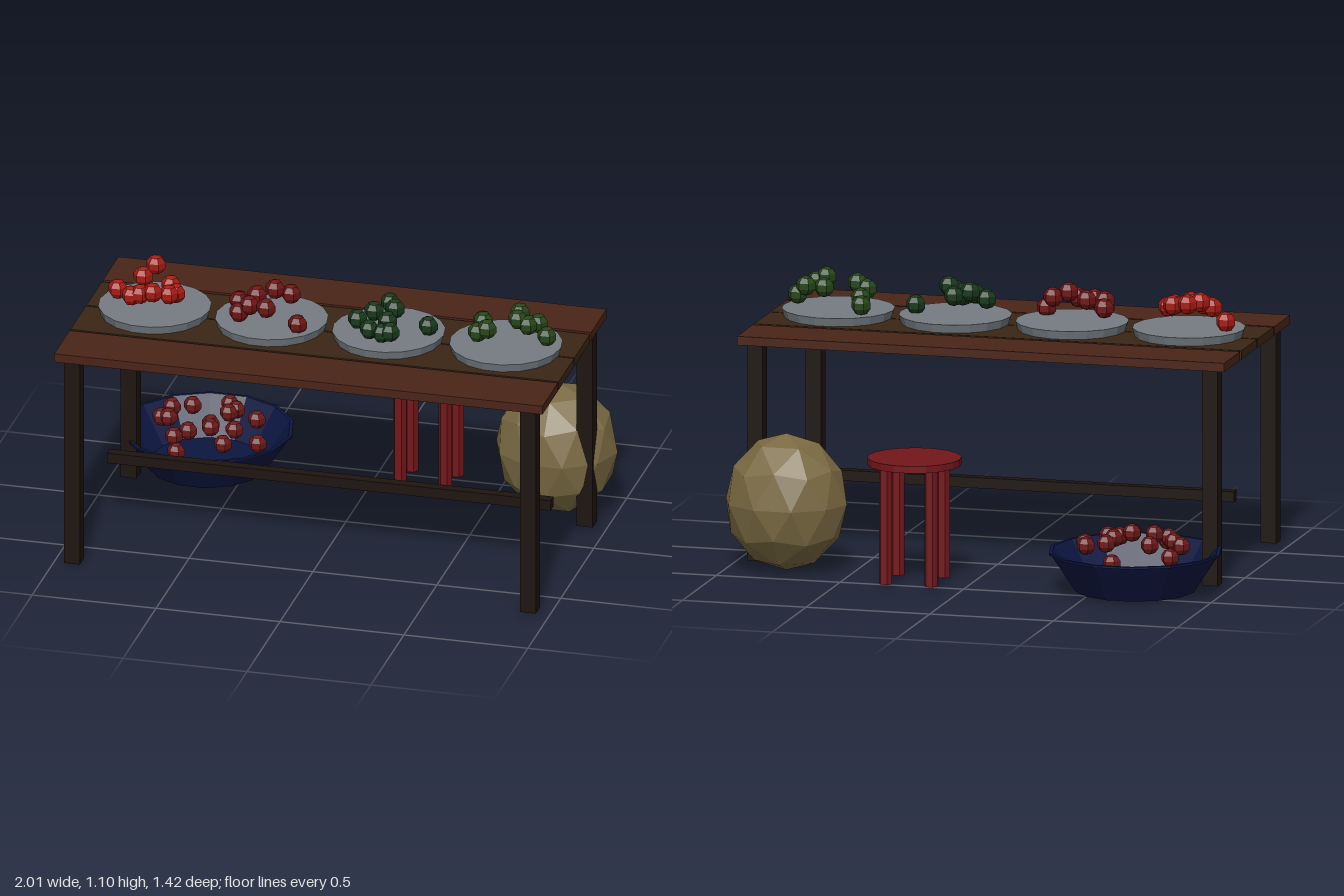
import * as THREE from 'three';

const paint = (color) => new THREE.MeshStandardMaterial({ color, flatShading: true, side: THREE.DoubleSide });

export function createModel() {
  const model = new THREE.Group();
  const plankOuter = paint(0x4a2418), plankInner = paint(0x3a2614), darkWood = paint(0x1e1410);
  const stoolRed = paint(0x74161a), plateGrey = paint(0x757c82), basinBlue = paint(0x0c1640);

  function add(name, geometry, material, x, y, z, parent = model) {
    const mesh = new THREE.Mesh(geometry, material);
    mesh.name = name;
    mesh.position.set(x, y, z);
    parent.add(mesh);
    return mesh;
  }
  function group(name) {
    const g = new THREE.Group();
    g.name = name;
    model.add(g);
    return g;
  }
  // cylinder with a corner on the x axis
  const prism = (top, bottom, height, sides) =>
    new THREE.CylinderGeometry(top, bottom, height, sides).rotateY(Math.PI / 2);

  // Table: four planks, four legs and a long stretcher
  const table = group('table');
  [[-0.145, plankOuter], [0.107, plankInner], [0.348, plankInner], [0.593, plankOuter]].forEach(([z, mat]) =>
    add('tablePlank', new THREE.BoxGeometry(1.97, 0.035, 0.234), mat, -0.003, 0.893, z, table));
  for (const x of [-0.922, 0.918]) for (const z of [-0.202, 0.658])
    add('tableLeg', new THREE.BoxGeometry(0.064, 0.862, 0.064), darkWood, x, 0.446, z, table);
  add('stretcher', new THREE.BoxGeometry(1.79, 0.042, 0.043), darkWood, -0.003, 0.28, 0.228, table);

  // Plates heaped with round fruit: [x, y, z] per fruit
  const fruitGeometry = new THREE.SphereGeometry(0.04, 6, 5);
  const heaps = [
    { x: -0.712, color: 0xa81a12, fruit: [
      [-0.74, 1.06, 0.1], [-0.87, 0.98, 0.19], [-0.765, 1.05, 0.2], [-0.65, 1.03, 0.21], [-0.62, 1.015, 0.25],
      [-0.64, 1.02, 0.28], [-0.7, 1.03, 0.3], [-0.75, 1.02, 0.305], [-0.785, 1.01, 0.305]] },
    { x: -0.24, color: 0x6e1414, fruit: [
      [-0.37, 1.0, 0.22], [-0.3, 1.03, 0.22], [-0.23, 1.06, 0.21], [-0.17, 1.04, 0.195], [-0.36, 1.02, 0.27],
      [-0.35, 0.99, 0.31], [-0.31, 1.02, 0.3], [-0.24, 1.02, 0.31], [-0.11, 0.97, 0.32]] },
    { x: 0.232, color: 0x17381a, fruit: [
      [0.22, 1.03, 0.155], [0.39, 0.975, 0.215], [0.18, 1.03, 0.25], [0.12, 1.0, 0.275], [0.265, 1.05, 0.25],
      [0.25, 1.02, 0.31], [0.19, 1.0, 0.36], [0.24, 0.99, 0.36], [0.275, 1.0, 0.365]] },
    { x: 0.705, color: 0x254518, fruit: [
      [0.585, 0.98, 0.12], [0.6, 1.0, 0.17], [0.74, 1.04, 0.14], [0.83, 1.03, 0.2], [0.87, 0.99, 0.225],
      [0.76, 1.06, 0.25], [0.8, 1.04, 0.25], [0.65, 1.03, 0.305], [0.61, 1.01, 0.3]] },
  ];
  for (const { x, color, fruit } of heaps) {
    const serving = group('plateOfFruit');
    const skin = paint(color);
    add('plate', prism(0.222, 0.212, 0.034, 18), plateGrey, x, 0.928, 0.223, serving);
    for (const [fx, fy, fz] of fruit) add('fruit', fruitGeometry, skin, fx, fy, fz, serving);
  }

  // Basin: hollow with a thin wall
  const basin = group('basin');
  const wall = [[0, 0.015], [0.235, 0.015], [0.332, 0.162], [0.342, 0.164], [0.342, 0.173], [0.328, 0.173],
    [0.228, 0.028], [0, 0.028]].map(([r, y]) => new THREE.Vector2(r, y));
  add('bowl', new THREE.LatheGeometry(wall, 14).rotateY(Math.PI / 2), basinBlue, -0.66, 0, -0.378, basin);

  // Fruit in the basin, domed towards the middle
  const basinFruit = paint(0x6e1818);
  [[-0.635, -0.63], [-0.84, -0.52], [-0.745, -0.475], [-0.57, -0.48], [-0.48, -0.45], [-0.585, -0.42],
    [-0.845, -0.375], [-0.81, -0.355], [-0.625, -0.3], [-0.53, -0.3], [-0.43, -0.28], [-0.62, -0.275],
    [-0.7, -0.24], [-0.75, -0.21], [-0.55, -0.2], [-0.72, -0.13]].forEach(([x, z]) => {
    const d = Math.hypot(x + 0.66, z + 0.378);
    add('basinFruit', fruitGeometry, basinFruit, x, 0.232 - d * d, z, basin).scale.setScalar(0.92);
  });

  // Stool: round seat on four legs
  const stool = group('stool');
  add('seat', prism(0.184, 0.184, 0.028, 18), stoolRed, 0.217, 0.492, -0.435, stool);
  for (const sx of [-1, 1]) for (const sz of [-1, 1])
    add('stoolLeg', prism(0.027, 0.027, 0.465, 6), stoolRed, 0.217 + sx * 0.092, 0.248, -0.435 + sz * 0.092, stool);

  // Sack: faceted ball standing on a corner
  const ball = new THREE.IcosahedronGeometry(1, 1);
  ball.rotateX(-Math.atan((1 + Math.sqrt(5)) / 2));
  ball.scale(0.245, 0.272, 0.22);
  add('sack', ball, paint(0x7a6a42), 0.766, 0.277, -0.322);

  return model;
}
